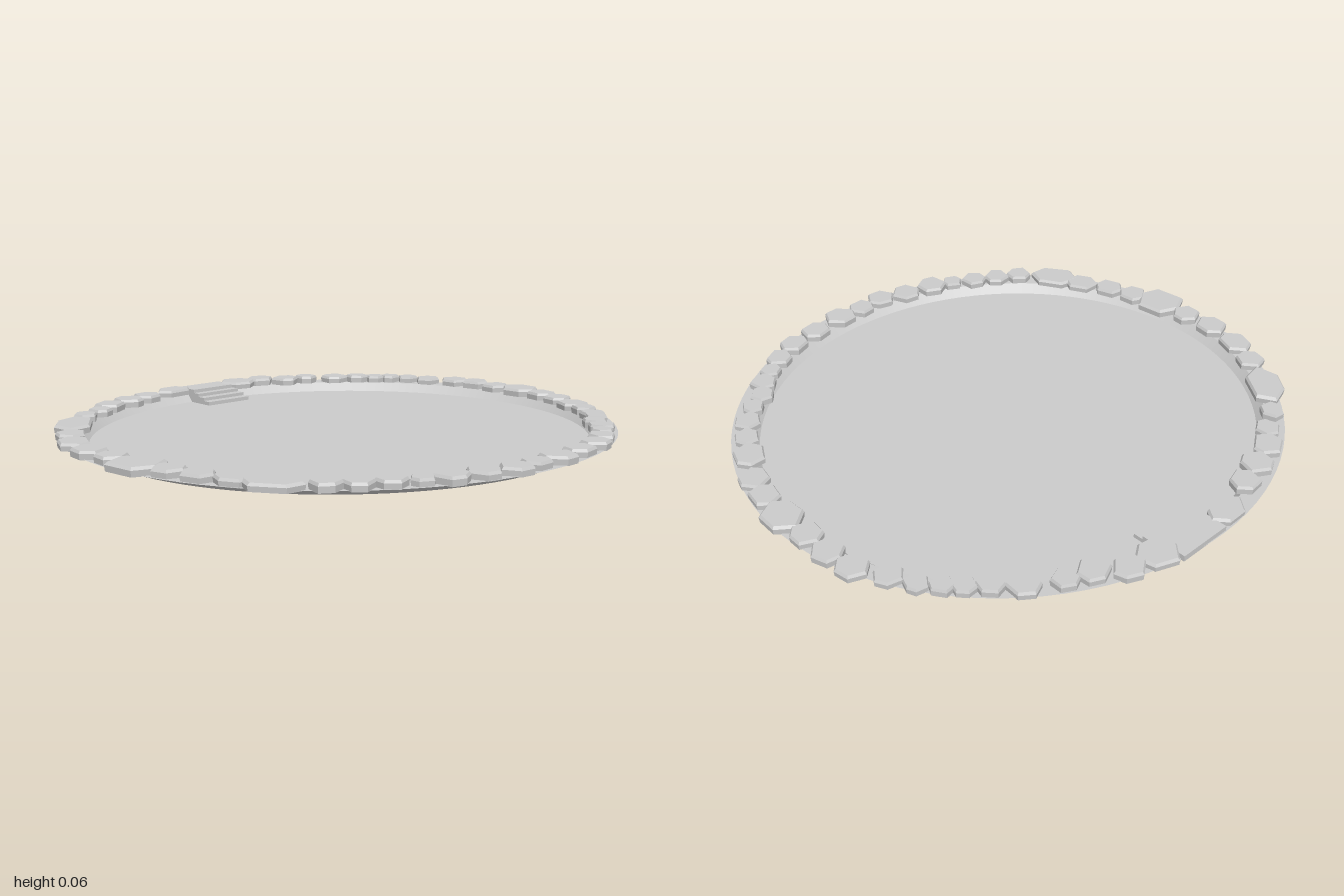
import * as THREE from 'three';
import { ConvexGeometry } from 'three/addons/geometries/ConvexGeometry.js';

const smooth = new THREE.MeshStandardMaterial({ color: 0xcccccc, side: THREE.DoubleSide });
const stoneMat = new THREE.MeshStandardMaterial({ color: 0xcccccc, flatShading: true });

// Border stones, clockwise from the steps: x, z, length along the rim
const SMALL = [
  [.28, -.87, .11], [.37, -.81, .11], [.46, -.785, .09], [.565, -.72, .11], [.64, -.66, .09], [.7, -.61, .08],
  [.75, -.57, .08], [.8, -.51, .08], [.84, -.43, .1], [.9, -.33, .12], [.92, -.23, .11], [.925, -.12, .11],
  [.925, .12, .11], [.905, .22, .11], [.85, .34, .13], [.805, .43, .09], [.755, .51, .1], [.7, .57, .08],
  [.635, .615, .09], [.59, .68, .1], [.53, .73, .08], [.46, .785, .1], [.365, .83, .11], [.25, .86, .11],
  [.12, .885, .13], [.015, .89, .1], [-.085, .9, .11], [-.19, .87, .11], [-.305, .85, .12], [-.39, .82, .08],
  [-.47, .775, .1], [-.555, .735, .1], [-.635, .685, .1], [-.79, .465, .12], [-.845, .365, .11], [-.88, .26, .11],
  [-.925, .015, .11], [-.935, -.11, .13], [-.915, -.25, .14], [-.865, -.365, .11], [-.67, -.63, .09],
  [-.575, -.685, .09], [-.5, -.75, .12], [-.395, -.79, .12], [-.295, -.825, .11],
];
// Large stones: x, z, length, width
const LARGE = [
  [.17, -.88, .15, .12], [.935, 0, .16, .12], [-.74, .58, .2, .12],
  [-.916, .145, .18, .165], [-.775, -.51, .22, .12], [-.14, -.88, .16, .09],
];

let seed = 7;
const rand = () => (seed = (seed * 16807) % 2147483647) / 2147483647;

// Bevelled six-sided slab, its length running along the rim
function makeStone(x, z, length, width) {
  const corners = [];
  for (let i = 0; i < 6; i++) {
    const a = (i + (rand() - .5) * .35) * Math.PI / 3;
    const k = 1.03 + (rand() - .5) * .12;
    corners.push([Math.cos(a) * k * length / 2, Math.sin(a) * k * width / 1.8]);
  }
  const top = .057 + rand() * .005;
  const points = [];
  for (const [y, s] of [[.032, .97], [top - .009, 1], [top, .89]]) {
    for (const [px, pz] of corners) points.push(new THREE.Vector3(px * s, y, pz * s));
  }
  const stone = new THREE.Mesh(new ConvexGeometry(points), stoneMat);
  stone.position.set(x, 0, z);
  stone.rotation.y = Math.atan2(-x, -z);
  return stone;
}

export function createModel() {
  const model = new THREE.Group();

  // Shallow oval basin
  const basin = new THREE.Group();
  basin.name = 'basin';
  basin.scale.z = .963;
  const floor = new THREE.Mesh(new THREE.CircleGeometry(.885, 96).rotateX(-Math.PI / 2), smooth);
  floor.name = 'floor';
  basin.add(floor);
  const band = (name, r0, y0, r1, y1) => {
    const profile = [new THREE.Vector2(r0, y0), new THREE.Vector2(r1, y1)];
    const mesh = new THREE.Mesh(new THREE.LatheGeometry(profile, 96), smooth);
    mesh.name = name;
    basin.add(mesh);
  };
  band('slopingWall', .885, 0, .915, .032);
  band('rimLedge', .915, .032, .978, .034);
  model.add(basin);

  // Steps leading down from the rim
  const steps = new THREE.Group();
  steps.name = 'steps';
  // z back, z front, bottom, top
  const treads = [[-.05, .05, .03, .051], [-.005, .08, 0, .038], [-.005, .115, 0, .026], [-.005, .15, 0, .014]];
  treads.forEach(([back, front, bottom, top], i) => {
    const tread = new THREE.Mesh(new THREE.BoxGeometry(.2, top - bottom, front - back), stoneMat);
    tread.name = i ? 'step' : 'landing';
    tread.position.set(0, (top + bottom) / 2, (front + back) / 2);
    steps.add(tread);
  });
  steps.position.set(.025, 0, -.89);
  steps.rotation.y = .05;
  model.add(steps);

  // Ring of border stones
  const border = new THREE.Group();
  border.name = 'stoneBorder';
  for (const [x, z, size] of SMALL) border.add(makeStone(x, z, size, Math.min(.1, size * .85)));
  for (const row of LARGE) border.add(makeStone(...row));
  border.children.forEach((stone) => { stone.name = 'borderStone'; });
  model.add(border);

  return model;
}
